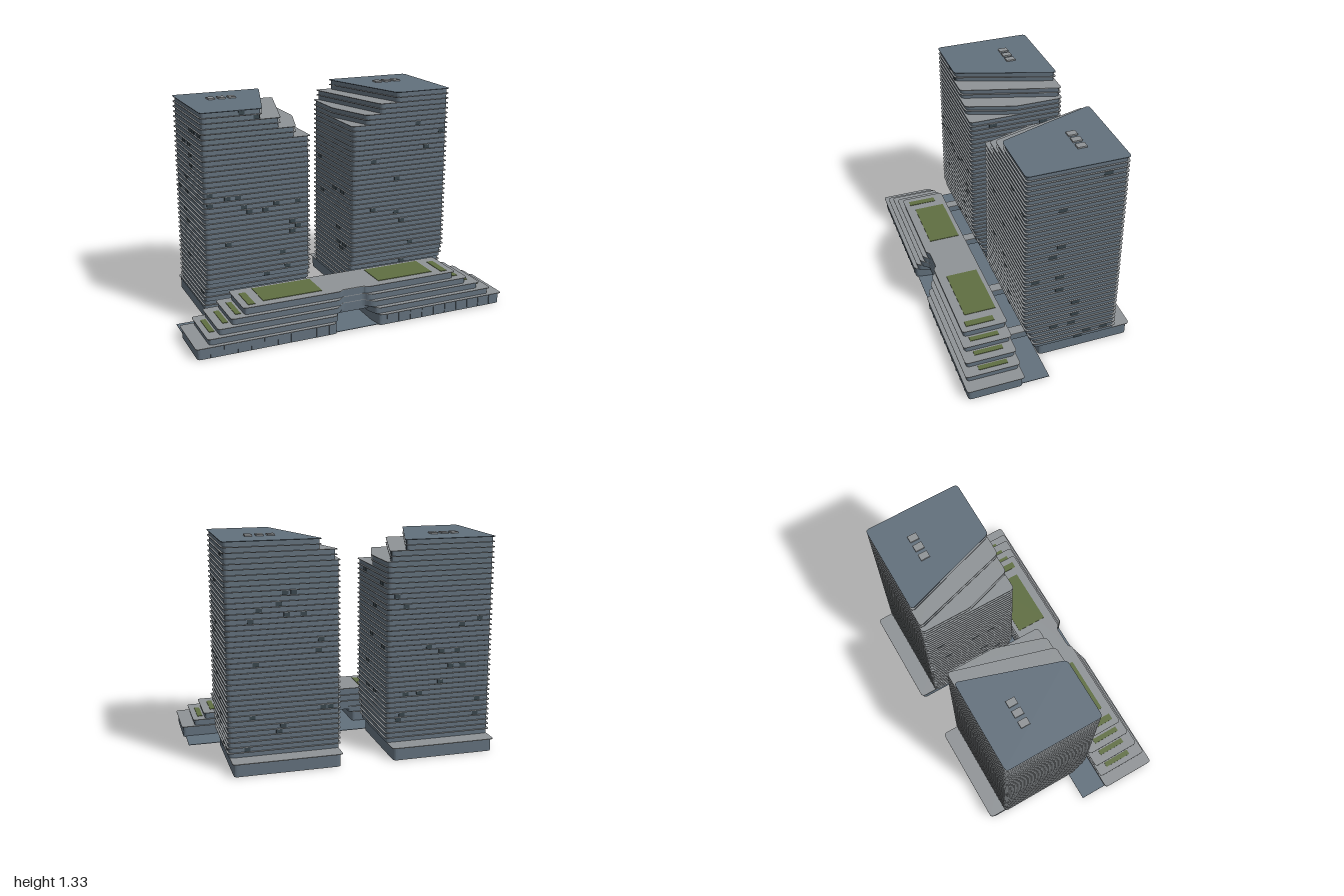
import * as THREE from 'three';
import { mergeGeometries } from 'three/addons/utils/BufferGeometryUtils.js';

const flat = (name, color) => Object.assign(new THREE.MeshStandardMaterial({ color }), { name });

// Extrude a plan outline [[x, z], ...] with rounded corners between two heights
function prism(points, y0, y1, radius = 0.025) {
  const p = points.map(([x, z]) => new THREE.Vector2(x, -z));
  const shape = new THREE.Shape();
  p.forEach((c, i) => {
    const a = p[(i + p.length - 1) % p.length], b = p[(i + 1) % p.length];
    const toward = (q) => {
      const len = c.distanceTo(q);
      return c.clone().lerp(q, Math.min(radius, len * 0.4) / len);
    };
    const start = toward(a), end = toward(b);
    if (i === 0) shape.moveTo(start.x, start.y);
    else shape.lineTo(start.x, start.y);
    shape.quadraticCurveTo(c.x, c.y, end.x, end.y);
  });
  shape.closePath();
  const g = new THREE.ExtrudeGeometry(shape, { depth: y1 - y0, bevelEnabled: false, curveSegments: 4 });
  return g.rotateX(-Math.PI / 2).translate(0, y0, 0);
}

function box(x0, x1, y0, y1, z0, z1) {
  return new THREE.BoxGeometry(Math.abs(x1 - x0), y1 - y0, Math.abs(z1 - z0))
    .translate((x0 + x1) / 2, (y0 + y1) / 2, (z0 + z1) / 2);
}

const rect = (x0, x1, z0, z1) => [[x0, z0], [x1, z0], [x1, z1], [x0, z1]];

export function createModel() {
  const wall = flat('blueGreyFacade', 0x62707c);
  const slab = flat('paleGreySlab', 0x8f9396);
  const lawn = flat('lawnGreen', 0x5f6e41);
  const dark = flat('darkWindow', 0x38454c);
  const model = new THREE.Group();

  const add = (parent, name, geos, material) => {
    const list = [].concat(geos);
    const mesh = new THREE.Mesh(list.length > 1 ? mergeGeometries(list) : list[0], material);
    mesh.name = name;
    parent.add(mesh);
  };

  let seed = 17;
  const random = () => (seed = (seed * 16807) % 2147483647) / 2147483647;

  // ---- Towers ----
  const IN = 0.145, OUT = 0.797, BACK = -0.445, BASE = 0.08;
  const frontAt = (y) => (y < 0.14 ? 0.07 : y < 0.205 ? 0.095 : y < 0.265 ? 0.12 : 0.135);

  // Floor outline, with the inner corner sliced off on the terrace floors
  function floorPlan(s, cut, front, d) {
    const b = BACK - d, f = front + d, i = IN - d, o = OUT + d;
    const plans = [
      [[i, b], [o, b], [o, f], [i, f]],
      [[i, b], [o, b], [o, f], [0.24 - d, f], [i, -0.15]],
      [[0.16 - d, b], [o, b], [o, f], [0.335 - d, f]],
      [[0.25 - d, b], [o, b], [o, f], [0.447 - d, f]],
    ];
    return plans[cut].map(([x, z]) => [x * s, z]);
  }

  function tower(name, s, height, floors, frontWindows, outerWindows) {
    const g = new THREE.Group();
    g.name = name;
    const step = (height - BASE) / floors, walls = [], slabs = [];

    // Ground floor with the low rear annex
    add(g, 'towerFooting', prism(rect(s * 0.16, s * 0.785, -0.54, 0.035), 0, 0.003), slab);
    add(g, 'groundFloor', prism(rect(s * 0.16, s * 0.785, -0.54, 0.035), 0.003, BASE - 0.004), wall);
    add(g, 'annexRoof', prism(rect(s * 0.15, s * 0.793, -0.553, 0.04), BASE - 0.004, BASE), slab, 0.01);

    for (let i = 0; i < floors; i++) {
      const y = BASE + i * step, top = y + step, front = frontAt(y + step / 2);
      const cut = Math.max(0, Math.ceil((i - floors + 7) / 2));
      walls.push(prism(floorPlan(s, cut, front, 0), y, top - 0.004));
      if (i < floors - 1) slabs.push(prism(floorPlan(s, cut, front, 0.01), top - 0.004, top));
    }
    add(g, 'towerFloors', walls, wall);
    add(g, 'floorSlabs', slabs, slab);
    add(g, 'mainRoof', prism(floorPlan(s, 3, 0.135, 0.01), height - 0.004, height), wall);

    // Scattered dark windows, each centred in its storey
    const snap = (y) => BASE + (Math.floor((y - BASE) / step) + 0.5) * step - 0.002;
    const windows = [];
    const onZ = (x, y, z) => windows.push(box(x - 0.018, x + 0.018, y - 0.012, y + 0.012, z - 0.004, z + 0.004));
    const onX = (x, y, z) => windows.push(box(x - 0.004, x + 0.004, y - 0.012, y + 0.012, z - 0.025, z + 0.025));
    frontWindows.forEach(([x, y]) => onZ(x * s, snap(y), frontAt(snap(y))));
    outerWindows.forEach(([z, y]) => onX(OUT * s, snap(y), z));
    for (let i = 0; i < 16; i++) {
      onZ(s * (0.2 + random() * 0.54), snap(0.12 + random() * 0.95), BACK);
      if (i % 2) onX(IN * s, snap(0.3 + random() * 0.75), -0.38 + random() * 0.44);
    }
    add(g, 'darkWindows', windows, dark);

    // Roof vents
    add(g, 'roofVents', [0.495, 0.56, 0.625].map((x) =>
      box(s * (x - 0.021), s * (x + 0.021), height, height + 0.009, -0.268, -0.212)), slab);
    model.add(g);
  }

  const sideWindows = [[-0.33, 1.235], [-0.075, 1.065], [-0.075, 0.81], [-0.025, 0.74], [0.075, 0.58],
    [-0.075, 0.58], [-0.075, 0.485], [-0.18, 0.385], [-0.18, 0.29], [-0.05, 0.225], [-0.16, 0.225],
    [-0.265, 0.125], [-0.375, 0.125], [-0.21, 0.1]];
  tower('leftTower', 1, 1.32, 40, [[0.59, 1.108], [0.757, 1.07], [0.655, 0.968], [0.285, 0.905],
    [0.45, 0.775], [0.285, 0.585], [0.45, 0.55], [0.49, 0.487], [0.555, 0.358], [0.505, 0.215]], sideWindows);
  tower('rightTower', -1, 1.295, 39, [[0.765, 0.807], [0.765, 0.745], [0.66, 0.775], [0.595, 0.775],
    [0.56, 0.71], [0.525, 0.68], [0.425, 0.68], [0.355, 0.71], [0.22, 0.71], [0.255, 0.585],
    [0.22, 0.55], [0.255, 0.52], [0.66, 0.485], [0.32, 0.42], [0.29, 0.32], [0.425, 0.295],
    [0.56, 1.28], [0.47, 1.25]], sideWindows.map(([z, y]) => [-0.3 - z, 1.25 - y * 0.85]));

  // ---- Stepped podium ----
  const podium = new THREE.Group();
  podium.name = 'podium';
  model.add(podium);
  const REAR = 0.208;
  const tiers = [ // half width, front z, bottom, top
    [0.985, 0.535, 0.003, 0.07], [0.912, 0.52, 0.07, 0.11], [0.845, 0.5, 0.11, 0.15],
    [0.762, 0.484, 0.15, 0.19], [0.682, 0.465, 0.19, 0.235]];
  const notch = (z) => 0.07 + Math.max(0, z - 0.455) * 0.875;

  // Half tiers flank the passage; full tiers span it with a tapered notch
  const halfPlan = (s, X, F, d, inner) => [[inner, REAR - d], [X + d, REAR - d], [X + d, F + d],
    [notch(F + d), F + d], [inner, 0.455]].map(([x, z]) => [x * s, z]);
  const fullPlan = (X, F, d) => [[-X - d, REAR - d], [X + d, REAR - d], [X + d, F + d], [notch(F + d), F + d],
    [0.07, 0.455], [-0.07, 0.455], [-notch(F + d), F + d], [-X - d, F + d]];

  tiers.forEach(([X, F, y0, y1], k) => {
    const plans = (d) => (k < 2
      ? [1, -1].map((s) => halfPlan(s, X, F, d, k ? 0.1 : 0.125))
      : [fullPlan(X, F, d)]);
    add(podium, 'podiumTier' + (k + 1), plans(0).map((p) => prism(p, y0, y1 - 0.004, 0.02)), wall);
    add(podium, 'tierSlab' + (k + 1), plans(0.01).map((p) => prism(p, y1 - 0.004, y1, 0.02)), slab);
    if (k === 0) add(podium, 'podiumFooting', plans(0).map((p) => prism(p, 0, 0.003, 0.02)), slab);
  });
  add(podium, 'passageCeiling', box(-0.12, 0.12, 0.09, 0.112, REAR, 0.455), wall);

  // Slim facade fins along the lowest tier
  const fins = [];
  for (const s of [1, -1]) for (let x = 0.19; x < 0.96; x += 0.08)
    fins.push(box(s * x - 0.002, s * x + 0.002, 0.003, 0.066, 0.53, 0.54));
  add(podium, 'facadeFins', fins, wall);

  // Lawns on the roof and the end terraces
  const beds = [[0.185, 0.555, 0.225, 0.42, 0.235], [0.61, 0.652, 0.265, 0.44, 0.235],
    [0.698, 0.73, 0.265, 0.44, 0.19], [0.775, 0.807, 0.265, 0.44, 0.15], [0.856, 0.888, 0.265, 0.44, 0.11]];
  add(podium, 'lawns', [1, -1].flatMap((s) => beds.map(([x0, x1, z0, z1, y]) =>
    box(s * x0, s * x1, y - 0.002, y + 0.003, z0, z1))), lawn);

  // ---- Footbridges from podium to towers ----
  for (const s of [1, -1]) for (const x of [0.245, 0.645]) {
    add(model, 'footbridge', box(s * x, s * (x + 0.055), 0.09, 0.131, 0.05, 0.215), wall);
    add(model, 'footbridgeRoof', box(s * (x - 0.003), s * (x + 0.058), 0.131, 0.135, 0.05, 0.205), slab);
  }

  // ---- Thin paved court ----
  add(model, 'pavedCourt', box(-0.972, 0.972, 0.003, 0.006, 0.04, 0.525), wall);
  return model;
}
